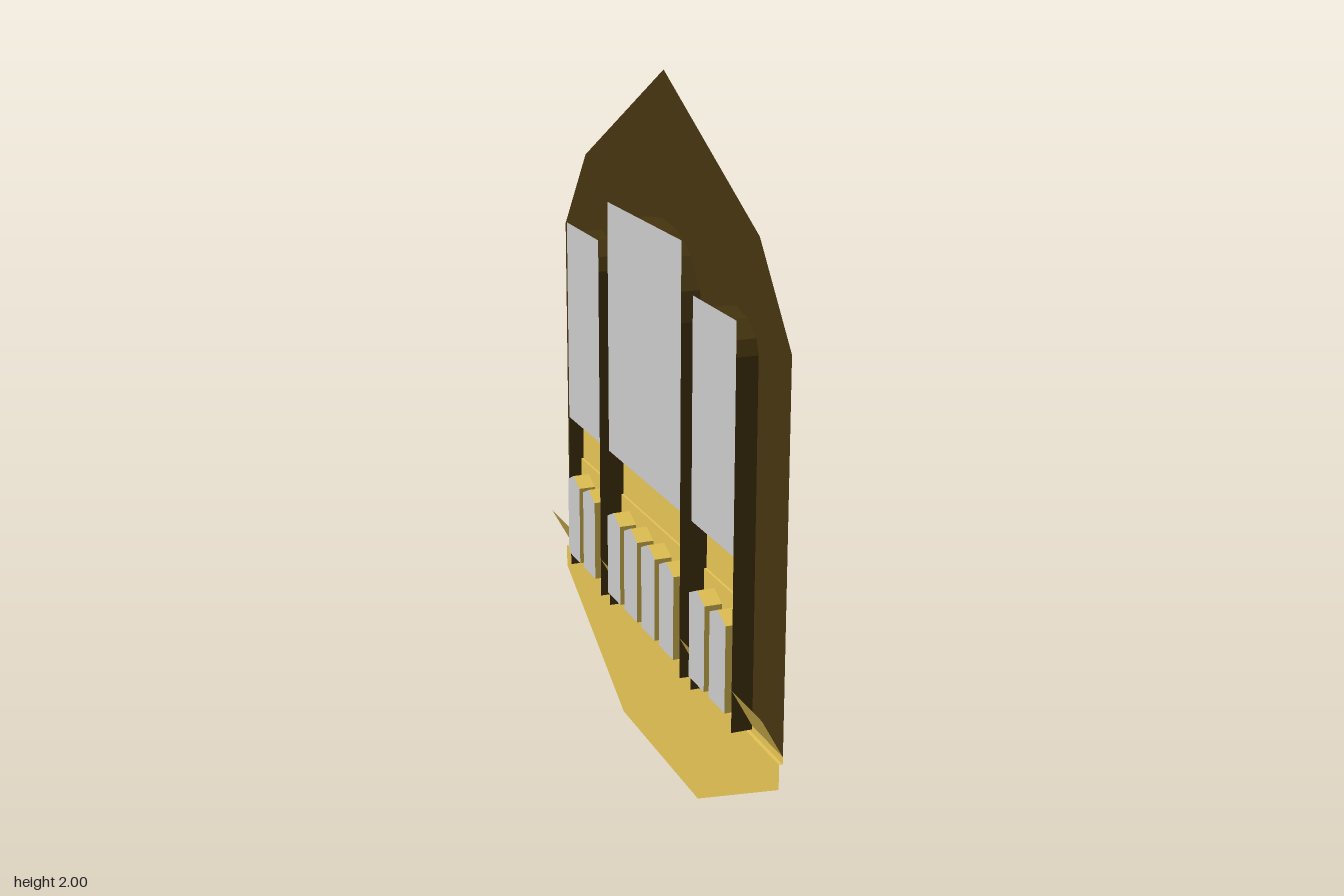
import * as THREE from 'three';

const mat = (color) => new THREE.MeshStandardMaterial({ color, side: THREE.DoubleSide, flatShading: true });

// Local frame: x along the wall, y up, z outwards (turned to face +x at the end)
const FRONT = 0.035, BACK = -0.025, RAIL = 0.02, BALUSTER = 0.013, LOWER = 0.025, PANE = -0.037;

export function createModel() {
  const wood = mat(0x45340f), gold = mat(0xe5c455), glass = mat(0xcccccc);
  const body = new THREE.Group();
  body.name = 'archedWindowWall';

  const add = (name, geometry, material) => {
    const mesh = new THREE.Mesh(geometry, material);
    mesh.name = name;
    body.add(mesh);
  };

  // Flat sheet from a 2D outline at depth z
  const sheet = (name, pts, z, material) => {
    const shape = new THREE.Shape(pts.map(([x, y]) => new THREE.Vector2(x, y)));
    add(name, new THREE.ShapeGeometry(shape).translate(0, 0, z), material);
  };

  // Open strip: a 3D polyline swept along a straight offset
  const strip = (name, pts, offset, material) => {
    const pos = [];
    for (let i = 0; i < pts.length - 1; i++) {
      const a = pts[i], b = pts[i + 1];
      const c = b.map((v, k) => v + offset[k]), d = a.map((v, k) => v + offset[k]);
      pos.push(...a, ...b, ...c, ...a, ...c, ...d);
    }
    const g = new THREE.BufferGeometry();
    g.setAttribute('position', new THREE.Float32BufferAttribute(pos, 3));
    g.computeVertexNormals();
    add(name, g, material);
  };

  // Moulding profile of [z, y] points swept from x0 to x1
  const moulding = (name, profile, x0, x1) =>
    strip(name, profile.map(([z, y]) => [x0, y, z]), [x1 - x0, 0, 0], gold);

  // Opening outline, left foot to right foot, mirrored from its right half
  const opening = (cx, half, foot) => [
    [cx - half[0][0], foot],
    ...half.map(([x, y]) => [cx - x, y]),
    ...half.slice(0, -1).reverse().map(([x, y]) => [cx + x, y]),
    [cx + half[0][0], foot],
  ];

  const bigArch = [[0.28, 1.38], [0.263, 1.46], [0.2, 1.538], [0.103, 1.587], [0, 1.6]];
  const sideArch = [[0.14, 1.38], [0.125, 1.42], [0.068, 1.458], [0, 1.473]];
  const smallArch = [[0.053, 0.665], [0, 0.69]];

  const bays = [
    { cx: -0.5, w: 0.14, top: 1.473, arch: sideArch, smalls: [-0.57, -0.43] },
    { cx: 0, w: 0.28, top: 1.6, arch: bigArch, smalls: [-0.21, -0.07, 0.07, 0.21] },
    { cx: 0.5, w: 0.14, top: 1.473, arch: sideArch, smalls: [0.43, 0.57] },
  ];

  // Gabled wall face, notched by the three arches
  sheet('wallFace', [
    [-0.83, 0.38], ...bays.flatMap((b) => opening(b.cx, b.arch, 0.38)),
    [0.83, 0.38], [0.83, 1.43], [0.635, 1.675], [0, 2], [-0.635, 1.675], [-0.83, 1.43],
  ], FRONT, wood);

  for (const { cx, w, top, arch, smalls } of bays) {
    const l = cx - w, r = cx + w;

    // Arch reveal and window pane
    strip('archReveal', opening(cx, arch, 0.37).map(([x, y]) => [x, y, FRONT]), [0, 0, BACK - FRONT], wood);
    sheet('windowPane', [[l, 0.86], [r, 0.86], [r, top], [l, top]], BACK, glass);

    // Hand rail
    moulding('handRail', [[BACK, 0.86], [RAIL, 0.86], [RAIL, 0.72], [BALUSTER, 0.72]], l, r);

    // Balustrade with small pointed openings
    const smallOpenings = smalls.map((x) => opening(x, smallArch, 0.42));
    sheet('balustrade', [[l, 0.42], ...smallOpenings.flat(), [r, 0.42], [r, 0.72], [l, 0.72]], BALUSTER, gold);
    for (const o of smallOpenings) {
      strip('balusterReveal', o.map(([x, y]) => [x, y, BALUSTER]), [0, 0, PANE - BALUSTER], gold);
      sheet('balustradePane', o, PANE, glass);
    }
  }

  // Sloping sill with its front lip
  moulding('sill', [[BACK, 0.49], [FRONT, 0.38], [FRONT, 0.36], [LOWER, 0.36]], -0.83, 0.83);

  // Tapered panel below the sill
  sheet('lowerPanel', [[-0.3, 0], [0.3, 0], [0.83, 0.29], [0.83, 0.36], [-0.83, 0.36], [-0.83, 0.29]], LOWER, gold);

  body.rotation.y = Math.PI / 2;
  const model = new THREE.Group();
  model.name = 'windowWall';
  model.add(body);
  return model;
}
